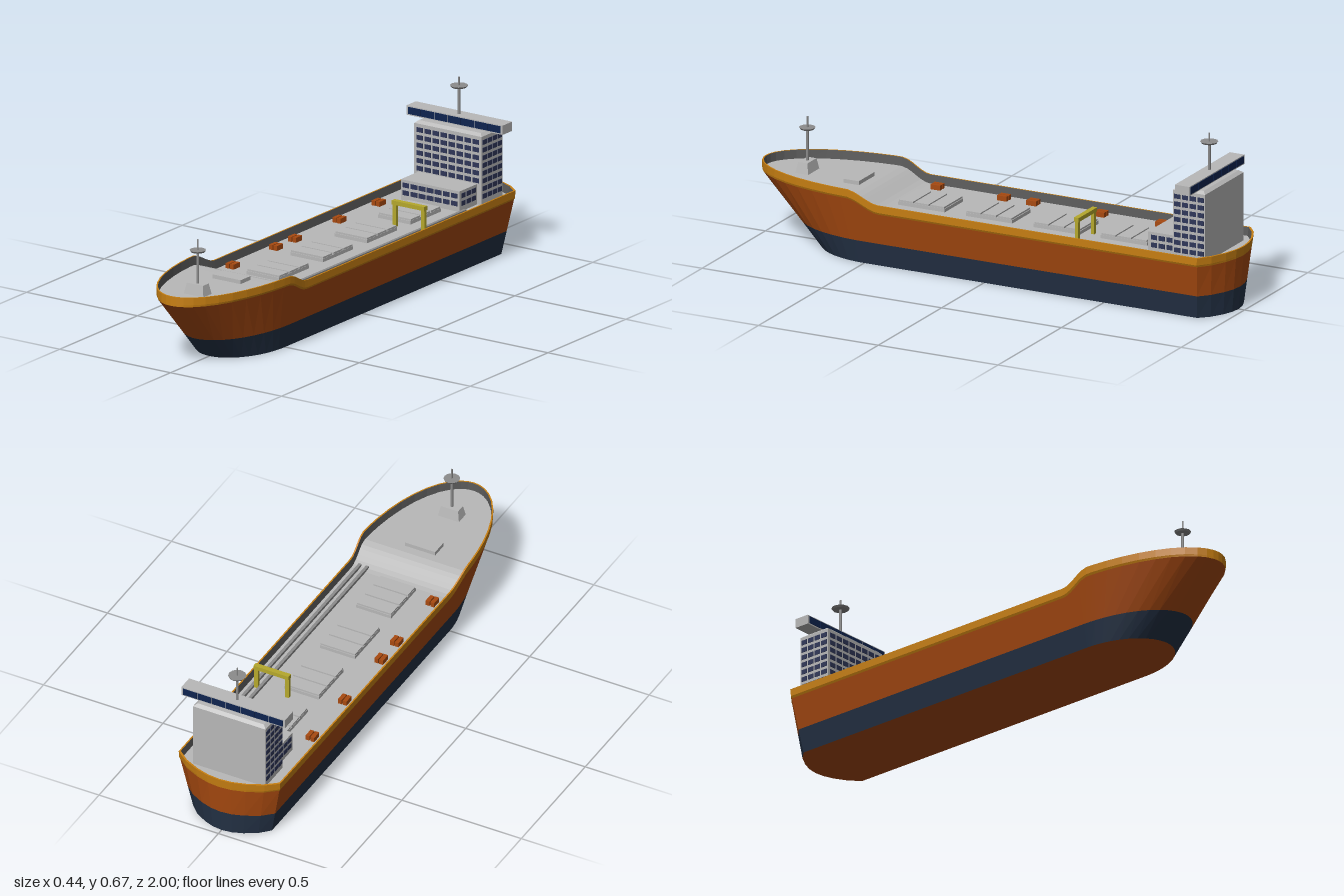
import * as THREE from 'three';
import { mergeGeometries } from 'three/addons/utils/BufferGeometryUtils.js';

const paint = (name, color) => Object.assign(new THREE.MeshStandardMaterial({ color }), { name });

export function createModel() {
  const hullOrange = paint('hull orange', 0xa84a10);
  const bandYellow = paint('band amber', 0xc98012);
  const navy = paint('waterline navy', 0x243246);
  const grey = paint('light grey', 0xb8b8b8);
  const mastGrey = paint('mast grey', 0x8c8c8c);
  const darkGrey = paint('bulwark dark grey', 0x5c5c5c);
  const glass = paint('window blue', 0x2e3658);
  const bridgeGlass = paint('bridge window blue', 0x0e2450);
  const craneYellow = paint('crane yellow', 0xb5a82c);

  const model = new THREE.Group();
  model.name = 'cargoShip';
  const add = (name, geometry, material, parent = model) => {
    const mesh = new THREE.Mesh(geometry, material);
    mesh.name = name;
    parent.add(mesh);
    return mesh;
  };
  const group = (name) => {
    const g = new THREE.Group();
    g.name = name;
    model.add(g);
    return g;
  };
  // box given by its limits
  const box = (x0, x1, y0, y1, z0, z1) =>
    new THREE.BoxGeometry(x1 - x0, y1 - y0, z1 - z0).translate((x0 + x1) / 2, (y0 + y1) / 2, (z0 + z1) / 2);
  // box whose top face is drawn in on all four sides
  const taperedBox = (x0, x1, y0, y1, z0, z1, inset) => {
    const g = box(x0, x1, y0, y1, z0, z1).toNonIndexed();
    const p = g.attributes.position;
    const cx = (x0 + x1) / 2, cz = (z0 + z1) / 2, cy = (y0 + y1) / 2;
    for (let i = 0; i < p.count; i++) {
      if (p.getY(i) < cy) continue;
      p.setX(i, p.getX(i) - Math.sign(p.getX(i) - cx) * inset);
      p.setZ(i, p.getZ(i) - Math.sign(p.getZ(i) - cz) * inset);
    }
    g.computeVertexNormals();
    return g;
  };

  // ---- Hull: half-outline stations [width fraction, z at deck], bow to stern
  const stations = [];
  for (const deg of [90, 84, 77, 69, 60, 51, 42, 33, 24, 16, 9, 5, 2]) {
    const a = THREE.MathUtils.degToRad(deg);
    stations.push([deg === 90 ? 0 : Math.cos(a), 0.5 + 0.5 * Math.sin(a)]);
  }
  stations.push([1, 0.5], [1, 0.48], [1, 0.46], [1, 0.44], [1, 0.42], [1, 0],
    [1, -0.915], [0.78, -0.952], [0.49, -0.98], [0.24, -0.995], [0, -1]);

  const BAND = 0.036;
  const sheer = (z) => 0.248 + 0.047 * THREE.MathUtils.smoothstep(z, 0.42, 0.55);
  // one level of the hull as a closed ring; inset moves it inside the plating
  const ring = (heightAt, flare = 0, inset = 0) => {
    const half = stations.map(([f, z]) => {
      const y = heightAt(z);
      const t = Math.min(1, y / 0.255);
      const w = 0.165 + 0.2 * Math.min(y, sheer(z) - BAND) + flare - inset;
      let zz = z;
      if (z > 0.5) zz = 0.5 + (z - 0.5) * (0.5 + 0.5 * t - inset * 2);
      if (z < -0.9) zz = z + 0.025 * (1 - t) + inset;
      return new THREE.Vector3(f * w, y, zz);
    });
    const other = half.slice(1, -1).reverse().map((v) => new THREE.Vector3(-v.x, v.y, v.z));
    return [...half, ...other];
  };
  const fromTriangles = (points) => {
    const g = new THREE.BufferGeometry().setFromPoints(points);
    g.computeVertexNormals();
    return g;
  };
  const strip = (a, b) => {
    const pts = [];
    a.forEach((p, i) => {
      const j = (i + 1) % a.length;
      pts.push(p, a[j], b[j], p, b[j], b[i]);
    });
    return fromTriangles(pts);
  };
  const cap = (r, up) => {
    const pts = [], n = stations.length, right = (i) => r[(r.length - i) % r.length];
    for (let i = 0; i < n - 1; i++) {
      const quad = [r[i], r[i + 1], right(i + 1), r[i], right(i + 1), right(i)];
      pts.push(...(up ? quad : quad.reverse()));
    }
    return fromTriangles(pts);
  };

  const keel = ring(() => 0);
  const waterline = ring(() => 0.09);
  const bandLow = ring((z) => sheer(z) - BAND);
  const bandMid = ring((z) => sheer(z) - BAND + 0.008, 0.004);
  const rim = ring(sheer, 0.005);
  const rimInner = ring(sheer, 0.005, 0.006);
  const deckEdge = ring((z) => sheer(z) - BAND + 0.002, 0.003, 0.006);
  add('hullBottom', cap(keel, false), hullOrange);
  add('lowerHull', strip(keel, waterline), navy);
  add('upperHull', strip(waterline, bandLow), hullOrange);
  add('bulwarkBand', mergeGeometries([strip(bandLow, bandMid), strip(bandMid, rim), strip(rim, rimInner)]), bandYellow);
  add('bulwarkInside', strip(rimInner, deckEdge), darkGrey);
  add('deck', cap(deckEdge, true), grey);

  // ---- Deck fittings
  const DECK = 0.213, FORE = 0.26;
  const hatches = group('cargoHatches');
  for (const z of [-0.535, -0.255, 0.028, 0.31]) {
    add('hatchCoaming', box(-0.073, 0.073, DECK, DECK + 0.014, z - 0.097, z + 0.097), grey, hatches);
    for (const k of [-1, 0, 1]) {
      const c = z + k * 0.065;
      add('hatchCover', box(-0.072, 0.072, DECK + 0.013, DECK + 0.021, c - 0.029, c + 0.029), grey, hatches);
    }
  }
  add('foredeckHatch', box(-0.063, 0.063, FORE, FORE + 0.016, 0.577, 0.64), grey);

  const lockers = group('deckLockers');
  for (const z of [-0.57, -0.317, -0.032, 0.09, 0.368])
    for (const x of [-0.173, -0.153])
      add('locker', box(x - 0.008, x + 0.008, DECK, DECK + 0.02, z - 0.02, z + 0.02), hullOrange, lockers);

  const pipes = group('deckPipes');
  for (const x of [0.15, 0.18])
    add('pipe', box(x - 0.006, x + 0.006, DECK, DECK + 0.012, -0.68, 0.445), mastGrey, pipes);

  const crane = group('gantryCrane');
  add('beam', box(0.028, 0.175, 0.299, 0.315, -0.4, -0.38), craneYellow, crane);
  for (const x of [0.037, 0.166])
    add('leg', box(x - 0.008, x + 0.008, DECK, 0.3, -0.396, -0.384), craneYellow, crane);

  // ---- Superstructure
  const house = group('deckhouse');
  add('tower', box(-0.152, 0.152, DECK, 0.478, -0.916, -0.782), grey, house);
  add('towerRoof', taperedBox(-0.152, 0.152, 0.478, 0.488, -0.916, -0.782, 0.013), grey, house);
  add('lowerHouse', box(-0.132, 0.132, DECK, 0.293, -0.783, -0.668), grey, house);

  // grids of thin window plates on the front and on both sides
  const frontWindows = (cols, rows, top, z) => {
    const out = [];
    for (let c = 0; c < cols; c++)
      for (let r = 0; r < rows; r++) {
        const x = (c - (cols - 1) / 2) * 0.0362, y = top - r * 0.0298;
        out.push(box(x - 0.0142, x + 0.0142, y - 0.009, y + 0.009, z - 0.002, z + 0.002));
      }
    return out;
  };
  const sideWindows = (cols, rows, top, halfWidth, zMid) => {
    const out = [];
    for (const x of [-halfWidth, halfWidth])
      for (let c = 0; c < cols; c++)
        for (let r = 0; r < rows; r++) {
          const z = zMid + (c - (cols - 1) / 2) * 0.0325, y = top - r * 0.0298;
          out.push(box(x - 0.002, x + 0.002, y - 0.009, y + 0.009, z - 0.0128, z + 0.0128));
        }
    return out;
  };
  add('towerWindows', mergeGeometries([
    ...frontWindows(8, 6, 0.455, -0.782), ...sideWindows(4, 8, 0.455, 0.152, -0.849)]), glass, house);
  add('lowerHouseWindows', mergeGeometries([
    ...frontWindows(7, 2, 0.273, -0.668), ...sideWindows(3, 2, 0.273, 0.132, -0.725)]), glass, house);

  const bridge = group('bridge');
  add('bridgeCabin', box(-0.217, 0.217, 0.487, 0.523, -0.885, -0.824), grey, bridge);
  const panes = [];
  for (const z of [-0.885, -0.824])
    for (let i = -3; i <= 3; i++)
      panes.push(box(i * 0.06 - 0.0285, i * 0.06 + 0.0285, 0.492, 0.519, z - 0.002, z + 0.002));
  add('bridgeWindows', mergeGeometries(panes), bridgeGlass, bridge);

  // ---- Masts with a round platform and a thin top pole
  const mast = (name, z, foot, disc, top, radius) => {
    const g = group(name);
    const rod = (part, r, y0, y1, sides) =>
      add(part, new THREE.CylinderGeometry(r, r, y1 - y0, sides).translate(0, (y0 + y1) / 2, z), mastGrey, g);
    rod('pole', 0.0055, foot, disc, 10);
    rod('topPole', 0.0035, disc, top, 8);
    add('platform', new THREE.CylinderGeometry(radius, radius * 0.85, 0.007, 12).translate(0, disc, z), mastGrey, g);
  };
  mast('mainMast', -0.853, 0.522, 0.63, 0.666, 0.034);
  mast('foreMast', 0.825, 0.3, 0.427, 0.472, 0.031);
  add('foreMastBase', taperedBox(-0.044, 0.044, FORE, 0.302, 0.798, 0.852, 0.008), grey);

  return model;
}
